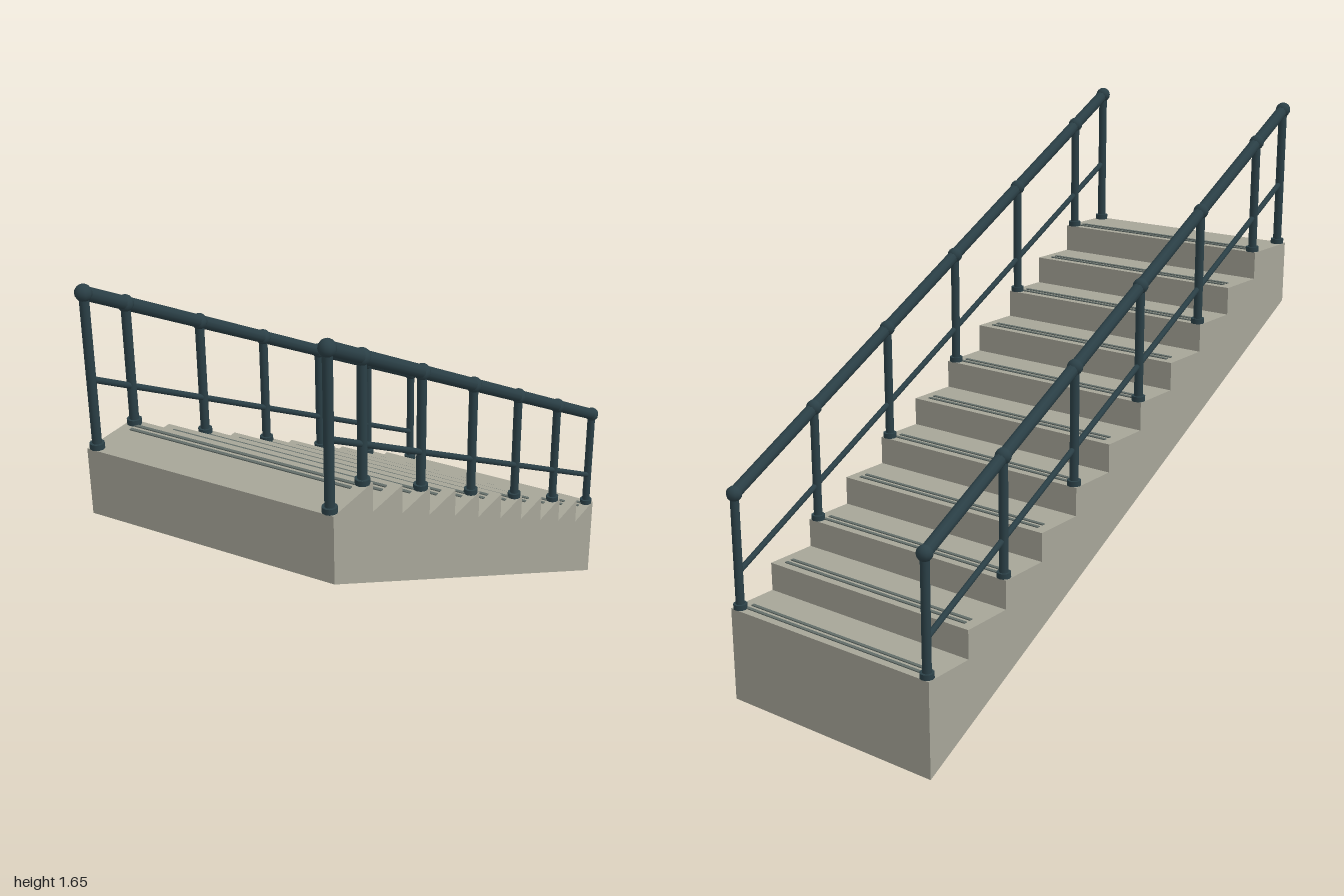
import * as THREE from 'three';

const WIDTH = 0.768, HALF = 0.9365;   // flight width and half length
const STEPS = 11, RUN = 0.167, RISE = 0.0885, LOW = 0.295;

const mat = (name, color, flatShading = false) => {
  const m = new THREE.MeshStandardMaterial({ color, flatShading });
  m.name = name;
  return m;
};

export function createModel() {
  const concrete = mat('concrete', 0xa6a598);
  const metal = mat('dark teal metal', 0x2b4047);
  const grip = mat('grip grey', 0x626d69);

  const model = new THREE.Group();
  model.name = 'staircase';
  const flight = new THREE.Group();
  flight.name = 'flight';
  flight.rotation.y = -0.561;          // the flight stands diagonally
  model.add(flight);

  const add = (parent, name, geometry, material, x, y, z) => {
    const mesh = new THREE.Mesh(geometry, material);
    mesh.name = name;
    mesh.position.set(x, y, z);
    parent.add(mesh);
    return mesh;
  };

  // Stepped body: side profile (z, y) extruded across the width
  const profile = new THREE.Shape();
  profile.moveTo(-HALF, 0);
  profile.lineTo(HALF, 0.98);
  profile.lineTo(HALF, LOW + (STEPS - 1) * RISE);
  for (let i = STEPS - 1; i >= 0; i--) {
    const nose = -HALF + i * RUN, top = LOW + i * RISE;
    profile.lineTo(nose, top);
    if (i > 0) profile.lineTo(nose, top - RISE);
  }
  const body = new THREE.ExtrudeGeometry(profile, { depth: WIDTH, bevelEnabled: false });
  body.translate(0, 0, -WIDTH / 2).rotateY(-Math.PI / 2);
  add(flight, 'stairBody', body, concrete, 0, 0, 0);

  // Pair of thin grip strips behind each step edge
  const strip = new THREE.BoxGeometry(0.7, 0.004, 0.011);
  for (let i = 0; i < STEPS; i++) {
    for (const offset of [0.03, 0.054]) {
      add(flight, 'gripStrip', strip, grip, 0, LOW + i * RISE + 0.001, -HALF + i * RUN + offset);
    }
  }

  // Railings
  const END = 0.919, SLOPE = RISE / RUN;
  const railY = (z) => 0.655 + (z + END) * SLOPE;
  const railLength = 2 * END * Math.hypot(1, SLOPE);
  const joint = new THREE.SphereGeometry(0.024, 10, 8);
  const collar = new THREE.CylinderGeometry(0.021, 0.021, 0.016, 12);

  function bar(parent, name, radius, x, drop) {
    const g = new THREE.CylinderGeometry(radius, radius, railLength, 10);
    const mesh = add(parent, name, g, metal, x, railY(0) - drop, 0);
    mesh.rotation.x = Math.PI / 2 - Math.atan(SLOPE);
  }

  for (const side of [-1, 1]) {
    const railing = new THREE.Group();
    railing.name = side > 0 ? 'leftRailing' : 'rightRailing';
    flight.add(railing);
    const x = side * 0.363;
    bar(railing, 'handrail', 0.019, x, 0);
    bar(railing, 'midRail', 0.009, x, 0.245);

    // A post on every second step, plus one at the top end
    for (let i = 0; i <= 6; i++) {
      const step = Math.min(i * 2, STEPS - 1);
      const z = i < 6 ? -END + step * RUN : END;
      const base = LOW + step * RISE, top = railY(z);
      const post = new THREE.CylinderGeometry(0.0135, 0.0135, top - base, 12);
      add(railing, 'post', post, metal, x, (base + top) / 2, z);
      add(railing, 'postCollar', collar, metal, x, base + 0.008, z);
      add(railing, 'railJoint', joint, metal, x, top, z);
    }
  }
  return model;
}
